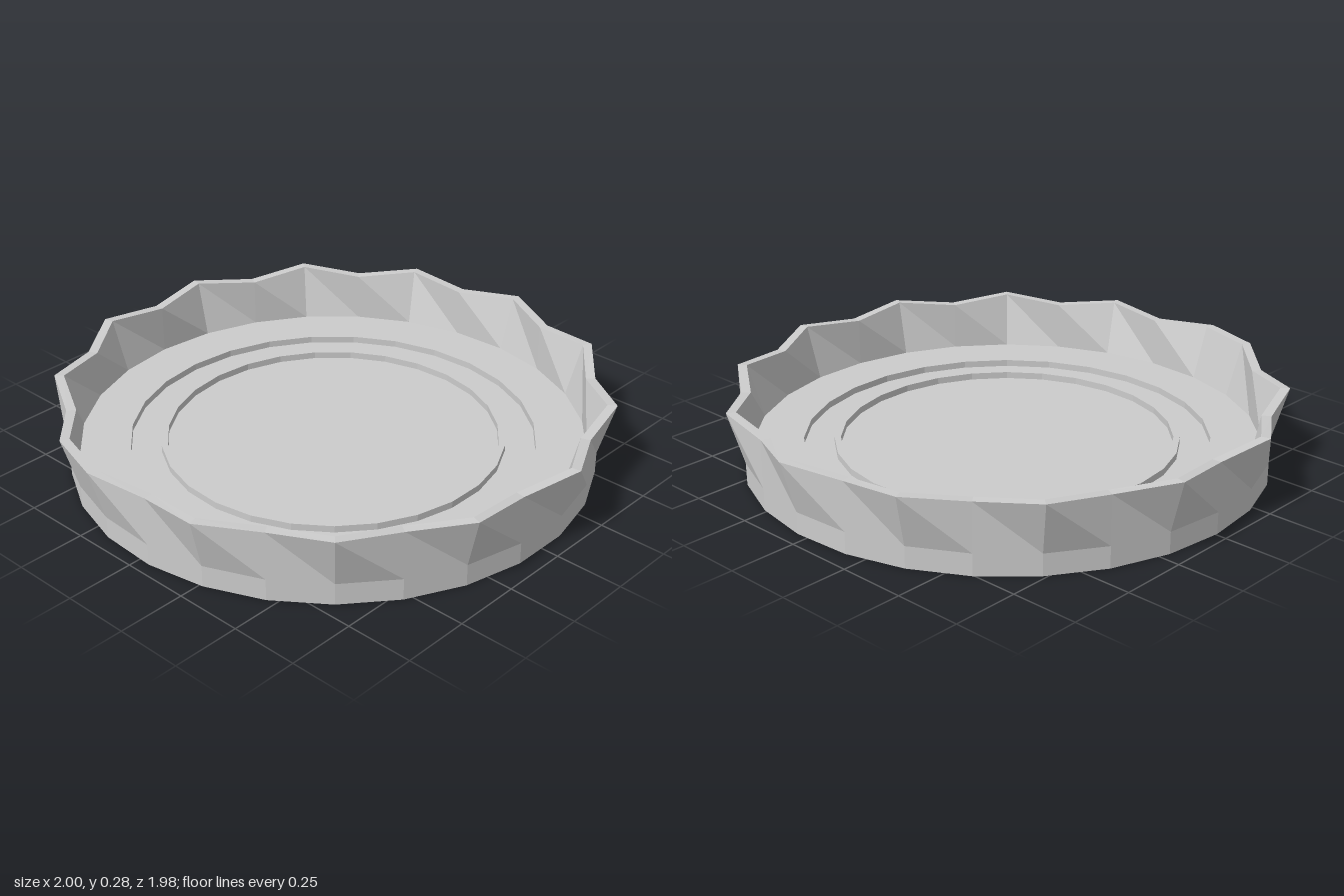
import * as THREE from 'three';

const SIDES = 27;
const START = THREE.MathUtils.degToRad(-100);
const BASE_H = 0.08;      // thickness of the solid base
const FLUTE_OUT = 0.058;  // how far each flute flares at the rim
const FLUTE_UP = 0.018;   // how much each flute rises at the rim

export function createModel() {
  const material = new THREE.MeshStandardMaterial({ color: 0xcccccc, flatShading: true });
  const dish = new THREE.Group();
  dish.name = 'flutedDish';

  const turned = (profile) =>
    new THREE.LatheGeometry(profile.map(([r, y]) => new THREE.Vector2(r, y)), SIDES, START);

  const addPart = (name, geometry) => {
    const flat = geometry.toNonIndexed();
    flat.computeVertexNormals();
    const mesh = new THREE.Mesh(flat, material);
    mesh.name = name;
    dish.add(mesh);
  };

  // Underside and straight outer edge
  addPart('base', turned([[0, 0], [0.95, 0], [0.95, BASE_H]]));

  // Floor with an annular groove, a thin ridge and a sunken centre
  const low = 0.055;
  addPart('floor', turned([
    [0.915, BASE_H], [0.735, BASE_H], [0.735, low], [0.625, low],
    [0.625, BASE_H], [0.602, BASE_H], [0.602, low], [0, low],
  ]));

  // Wall: every second rim corner is pushed out and up to form the flutes
  const profile = [[0.95, BASE_H], [0.95, 0.26], [0.915, 0.26], [0.915, BASE_H]];
  const wall = turned(profile);
  const pos = wall.attributes.position;
  for (let s = 0; s <= SIDES; s++) {
    if ((s % SIDES) % 2 === 1) continue;
    const angle = START + (s / SIDES) * Math.PI * 2;
    for (const j of [1, 2]) {
      const r = profile[j][0] + FLUTE_OUT;
      pos.setXYZ(s * profile.length + j, r * Math.sin(angle), profile[j][1] + FLUTE_UP, r * Math.cos(angle));
    }
  }
  addPart('flutedWall', wall);

  // Centre the uneven rim outline
  dish.children.forEach((mesh) => mesh.position.set(-0.007, 0, -0.01));
  return dish;
}
